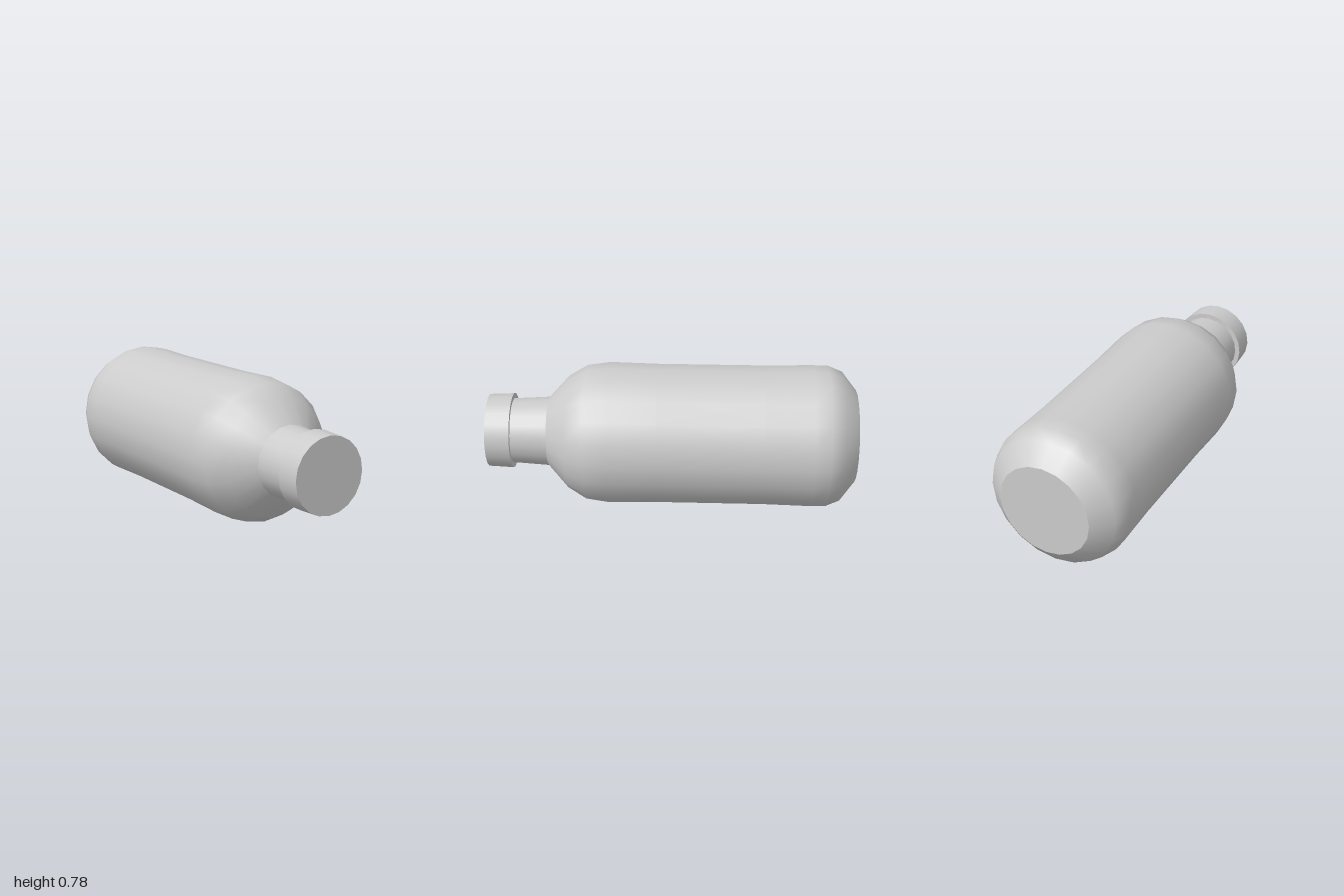
import * as THREE from 'three';

const SIDES = 20;
const AXIS_HEIGHT = 0.388;

export function createModel() {
  const model = new THREE.Group();
  model.name = 'bottle';
  const material = new THREE.MeshStandardMaterial({ color: 0xcccccc });

  // Turn a [radius, z] profile, listed back to front, around the lying axis.
  function turned(name, profile) {
    const points = profile.map(([r, z]) => new THREE.Vector2(r, z));
    const geometry = new THREE.LatheGeometry(points, SIDES);
    geometry.rotateX(Math.PI / 2);
    geometry.translate(0, AXIS_HEIGHT, 0);
    const mesh = new THREE.Mesh(geometry, material);
    mesh.name = name;
    model.add(mesh);
  }

  // Separate pieces keep the edges between them sharp.
  turned('base', [[0, -1], [0.253, -1]]);

  // Rounded heel, slightly waisted wall and rounded shoulder
  turned('body', [
    [0.253, -1], [0.355, -0.92], [0.386, -0.845], [0.388, -0.76],
    [0.382, -0.5], [0.382, 0.07],
    [0.388, 0.335], [0.37, 0.46], [0.31, 0.56], [0.19, 0.67],
  ]);

  turned('neck', [[0.19, 0.67], [0.178, 0.867]]);

  // Cap: underside lip, wall and flat end
  turned('capLip', [[0.17, 0.867], [0.206, 0.867]]);
  turned('capWall', [[0.206, 0.867], [0.2, 1]]);
  turned('capEnd', [[0.2, 1], [0, 1]]);

  return model;
}
